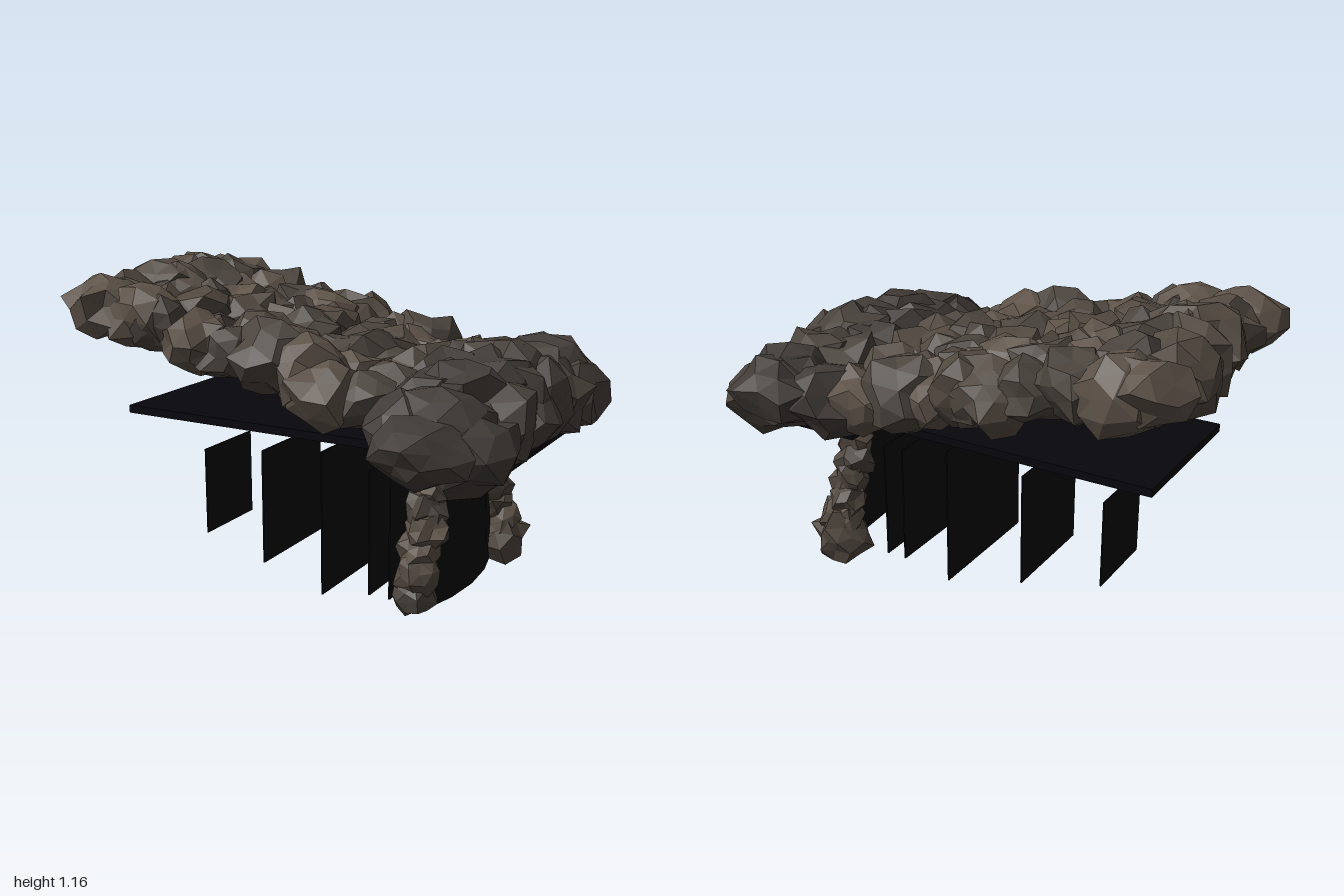
import * as THREE from 'three';

const mat = (color) => new THREE.MeshStandardMaterial({ color, flatShading: true });

// Seeded random numbers
let seed = 7;
const rand = () => {
  seed = (seed * 16807) % 2147483647;
  return seed / 2147483647;
};
const vary = (a) => (rand() * 2 - 1) * a;

export function createModel() {
  const root = new THREE.Group();
  root.name = 'caveEntrance';
  const cave = new THREE.Group();
  cave.name = 'cave';
  cave.rotation.y = Math.PI / 6; // the tunnel runs diagonally
  root.add(cave);

  const roofMats = [0x5c5147, 0x51483f, 0x4b443d].map(mat);
  const lipMats = [0x48413b, 0x413b37].map(mat);
  const dark = mat(0x07060c);
  const iceMat = mat(0x6f9c90);

  const addGroup = (name) => {
    const g = new THREE.Group();
    g.name = name;
    cave.add(g);
    return g;
  };

  // Chipped rock: icosphere whose corners are pushed in and out
  const addRock = (parent, name, mats, x, y, z, rx, ry, rz) => {
    const geo = new THREE.IcosahedronGeometry(1, 1);
    const p = geo.attributes.position;
    const s = rand() * 100;
    const v = new THREE.Vector3();
    for (let i = 0; i < p.count; i++) {
      v.fromBufferAttribute(p, i);
      const h = Math.sin(Math.round(v.x * 50) * 1.7 + Math.round(v.y * 50) * 3.1 + Math.round(v.z * 50) * 5.3 + s) * 437.5;
      v.multiplyScalar(0.7 + 0.46 * (h - Math.floor(h)));
      p.setXYZ(i, v.x, v.y, v.z);
    }
    geo.rotateY(rand() * 6.28);
    geo.rotateX(rand() * 6.28);
    geo.scale(rx, ry, rz);
    geo.computeVertexNormals();
    const m = new THREE.Mesh(geo, mats[Math.floor(rand() * mats.length)]);
    m.name = name;
    m.position.set(x, y, z);
    parent.add(m);
  };

  // Sloping roof, rising towards the back
  const roof = addGroup('roofRocks');
  const rows = 9, cols = 6;
  for (let r = 0; r < rows; r++) {
    for (let c = 0; c < cols; c++) {
      const t = r / (rows - 1);
      const size = 0.132 + vary(0.018) + (r === rows - 1 ? 0.015 : 0);
      addRock(roof, 'roofRock', roofMats,
        -0.385 + (0.77 * c) / (cols - 1) + vary(0.02),
        0.765 + 0.25 * t + vary(0.02),
        0.27 - 1.08 * t + vary(0.03),
        size, size * 0.95, size * 1.1);
    }
  }

  // Heavy brow over the entrance, highest in the middle
  const lip = addGroup('browRocks');
  for (let c = 0; c < 6; c++) {
    const x = -0.45 + c * 0.17;
    const drop = 0.3 * x * x;
    [[0.46, 0.77], [0.58, 0.8], [0.67, 0.73]].forEach(([z, y]) => {
      addRock(lip, 'browRock', lipMats, x + vary(0.02), y - drop + vary(0.01), z + vary(0.015), 0.175, 0.16 - drop * 0.3, 0.17);
    });
  }
  addRock(lip, 'browEndRock', lipMats, -0.62, 0.7, 0.58, 0.155, 0.115, 0.175);
  addRock(lip, 'browEndRock', lipMats, 0.49, 0.75, 0.57, 0.16, 0.135, 0.19);

  // Stacked rock pillars leaning in over the opening: [base x, base z, top z, lean]
  [['rightPillar', -0.35, 0.435, 0.465, 0.09], ['leftPillar', 0.325, 0.47, 0.47, -0.145]].forEach(([name, x, z0, z1, lean]) => {
    const pillar = addGroup(name);
    for (let i = 0; i < 7; i++) {
      const t = i / 6;
      const r = i === 0 && x > 0 ? 0.115 : 0.078 + vary(0.008);
      addRock(pillar, 'pillarRock', roofMats,
        x + lean * (0.6 * t + 0.4 * t * t), 0.115 + 0.43 * t, z0 + (z1 - z0) * t + vary(0.01), r, r, r);
    }
  });

  // Dark boards: ceiling plates and receding tunnel panels
  const addBoard = (name, w, h, d, y, z) => {
    const m = new THREE.Mesh(new THREE.BoxGeometry(w, h, d), dark);
    m.name = name;
    m.position.set(-0.02, y, z);
    cave.add(m);
  };
  addBoard('ceilingPlate', 0.61, 0.03, 1.17, 0.605, -0.2);
  addBoard('browPlate', 0.79, 0.016, 0.37, 0.568, 0.544);
  [[0.54, 0.04, 0.5, 0.31], [0.54, 0.04, 0.5, 0.23], [0.53, 0, 0.54, 0.035], [0.42, 0.05, 0.49, -0.25], [0.31, 0.1, 0.44, -0.547]]
    .forEach(([w, y0, y1, z]) => addBoard('tunnelPanel', w, y1 - y0, 0.006, (y0 + y1) / 2, z));

  // Arched panel filling the mouth, bowed slightly forward and narrowing upward
  const veil = new THREE.PlaneGeometry(2, 1, 4, 8);
  const vp = veil.attributes.position;
  for (let i = 0; i < vp.count; i++) {
    const u = vp.getX(i), t = vp.getY(i) + 0.5;
    vp.setXYZ(i, u * (0.3 - 0.1 * t * t), 0.043 + 0.52 * t, 0.46 + 0.05 * (1 - u * u));
  }
  veil.computeVertexNormals();
  const mouthMat = dark.clone();
  mouthMat.side = THREE.DoubleSide;
  const mouth = new THREE.Mesh(veil, mouthMat);
  mouth.name = 'mouthPanel';
  mouth.position.x = -0.02;
  cave.add(mouth);

  // Small stalactites under the ceiling
  const drips = addGroup('stalactites');
  for (let i = 0; i < 14; i++) {
    const front = i < 8;
    const h = 0.035 + rand() * 0.025;
    const m = new THREE.Mesh(new THREE.ConeGeometry(0.008, h, 5), iceMat);
    m.name = 'stalactite';
    m.rotation.x = Math.PI;
    m.position.set(front ? -0.3 + i * 0.08 : -0.2 + (i - 8) * 0.08, (front ? 0.562 : 0.592) - h / 2,
      front ? 0.53 + vary(0.12) : 0.14 + vary(0.16));
    drips.add(m);
  }

  return root;
}
